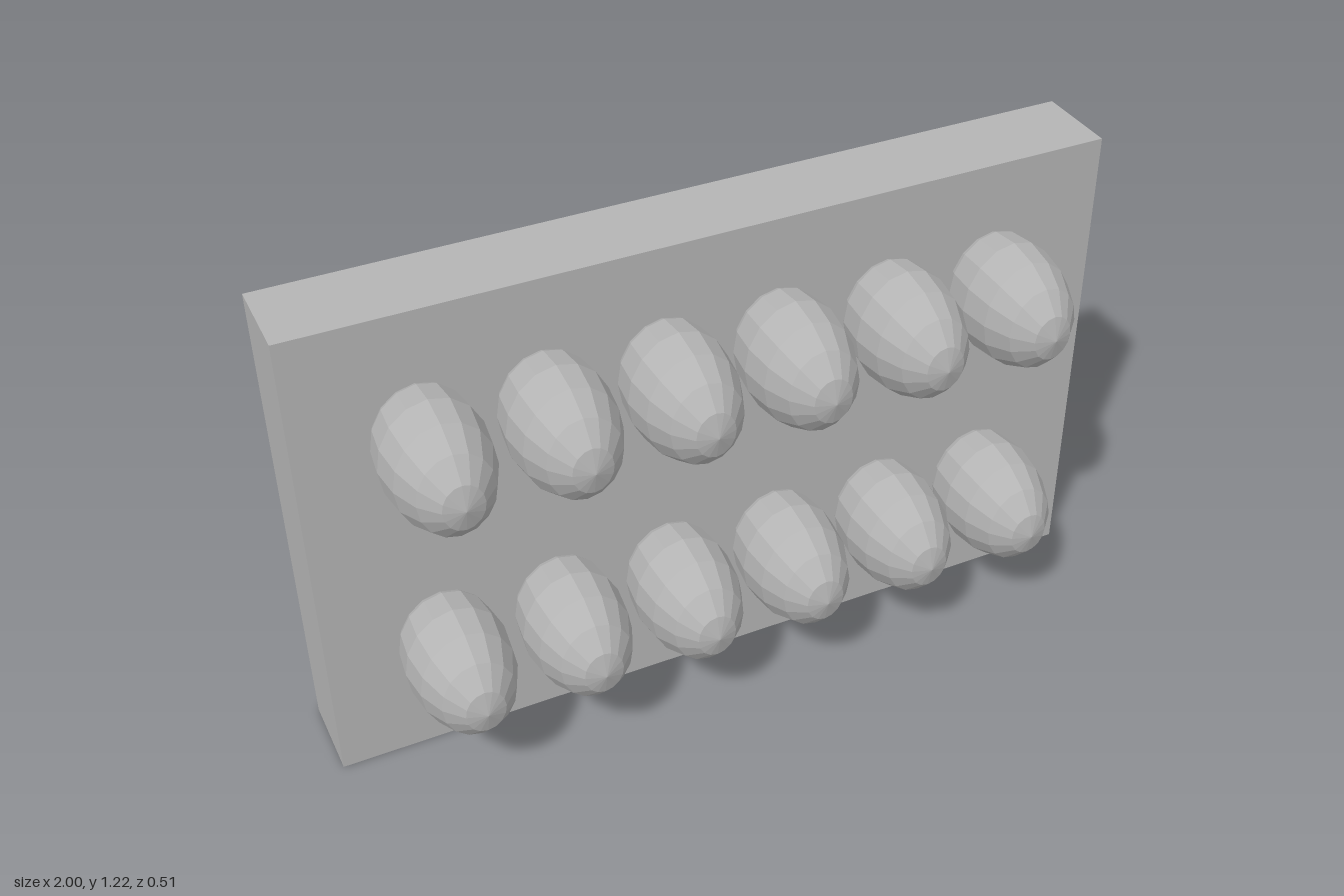
import * as THREE from 'three';

export function createModel() {
  const model = new THREE.Group();
  model.name = 'studdedBlock';

  const grey = new THREE.MeshStandardMaterial({ color: 0xb4b4b4, flatShading: true });
  grey.name = 'plain grey';

  // Upright slab
  const slab = new THREE.Mesh(new THREE.BoxGeometry(2, 1.215, 0.213), grey);
  slab.name = 'slab';
  slab.position.set(0, 0.6075, -0.1485);
  model.add(slab);

  // Faceted egg-shaped studs, pole facing forward, sunk into the slab
  const studGeometry = new THREE.SphereGeometry(1, 16, 8);
  studGeometry.rotateX(Math.PI / 2);
  studGeometry.scale(0.126, 0.152, 0.205);

  const studs = new THREE.Group();
  studs.name = 'studs';
  [0.316, 0.902].forEach((y, row) => {
    for (let i = 0; i < 6; i++) {
      const stud = new THREE.Mesh(studGeometry, grey);
      stud.name = `${row ? 'upper' : 'lower'}Stud${i + 1}`;
      stud.position.set((i - 2.5) * 0.286, y, 0.05);
      studs.add(stud);
    }
  });
  model.add(studs);

  return model;
}
